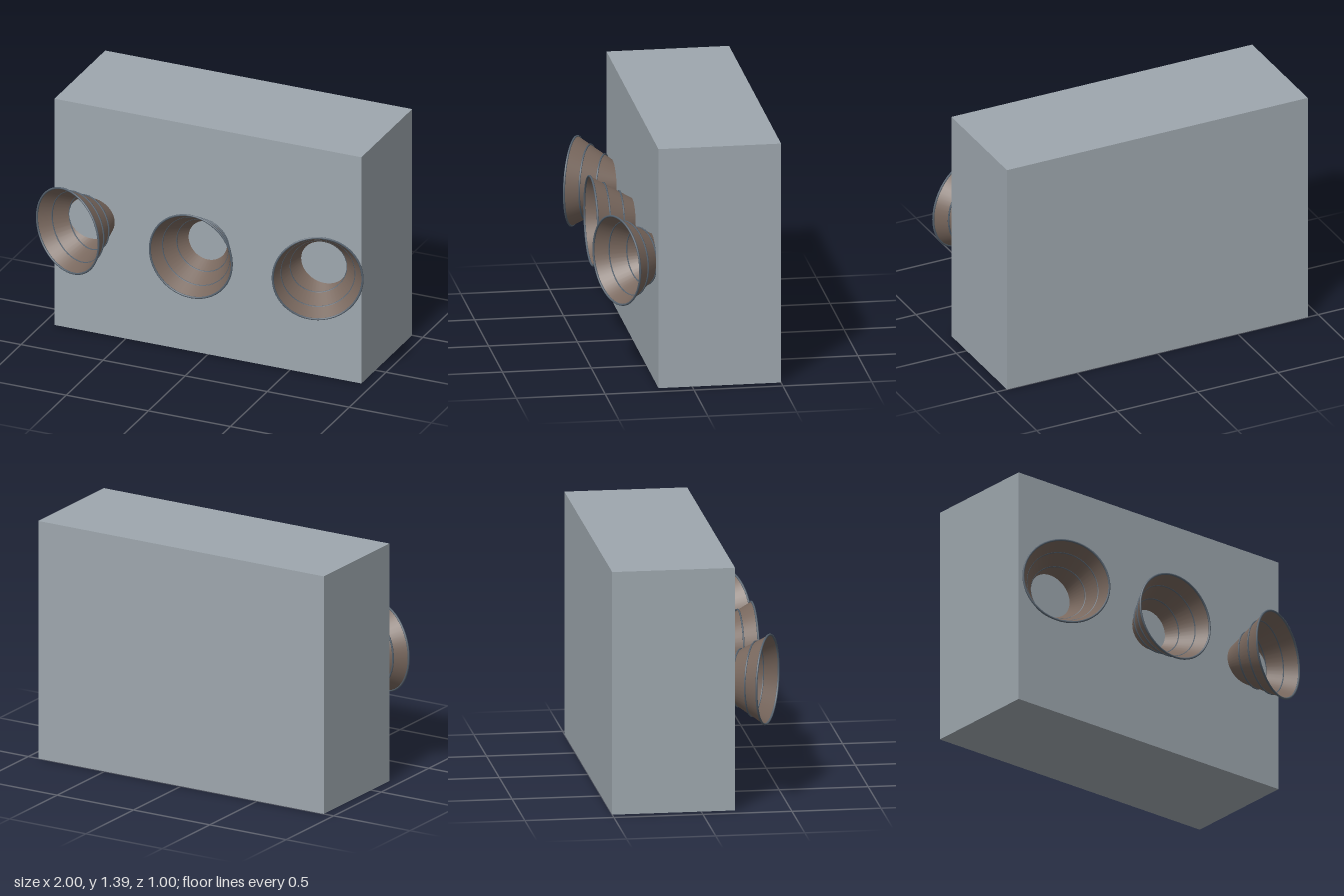
import * as THREE from 'three';

export function createModel() {
  const model = new THREE.Group();
  const mat = (name, color, side = THREE.FrontSide) => {
    const m = new THREE.MeshStandardMaterial({ color, side });
    m.name = name;
    return m;
  };
  const casing = mat('grey casing', 0x9ea7ae);
  const brown = mat('brown horn', 0x78675d, THREE.DoubleSide);
  const slate = mat('slate trim', 0x56626e);

  const add = (parent, name, geometry, material) => {
    const mesh = new THREE.Mesh(geometry, material);
    mesh.name = name;
    parent.add(mesh);
    return mesh;
  };

  // Cabinet
  add(model, 'cabinet', new THREE.BoxGeometry(1.87, 1.39, 0.69), casing).position.set(0, 0.695, -0.155);

  // Flared horn: mouth at the local origin facing +z, throat sunk into the cabinet
  const mouth = 0.25, slope = 0.57, depth = 0.3;
  const radiusAt = (d) => mouth - slope * d;
  function horn(name, x, z, turn) {
    const group = new THREE.Group();
    group.name = name;
    const profile = [new THREE.Vector2(radiusAt(depth), -depth), new THREE.Vector2(mouth, 0)];
    const cone = new THREE.LatheGeometry(profile, 48);
    cone.rotateX(Math.PI / 2);
    add(group, 'hornCone', cone, brown);

    // Rolled lip and two reinforcing hoops
    add(group, 'hornRim', new THREE.TorusGeometry(mouth, 0.006, 8, 48), slate);
    for (const d of [0.077, 0.162]) {
      add(group, 'hornHoop', new THREE.TorusGeometry(radiusAt(d) + 0.003, 0.005, 6, 48), slate).position.z = -d;
    }
    group.position.set(x, 0.7, z);
    group.rotation.y = turn;
    model.add(group);
  }

  // Centre horn faces forward; the outer pair splay outwards
  horn('centreHorn', 0, 0.422, 0);
  for (const s of [-1, 1]) {
    horn(s > 0 ? 'leftHorn' : 'rightHorn', s * 0.761, 0.397, s * THREE.MathUtils.degToRad(22.5));
  }
  return model;
}
